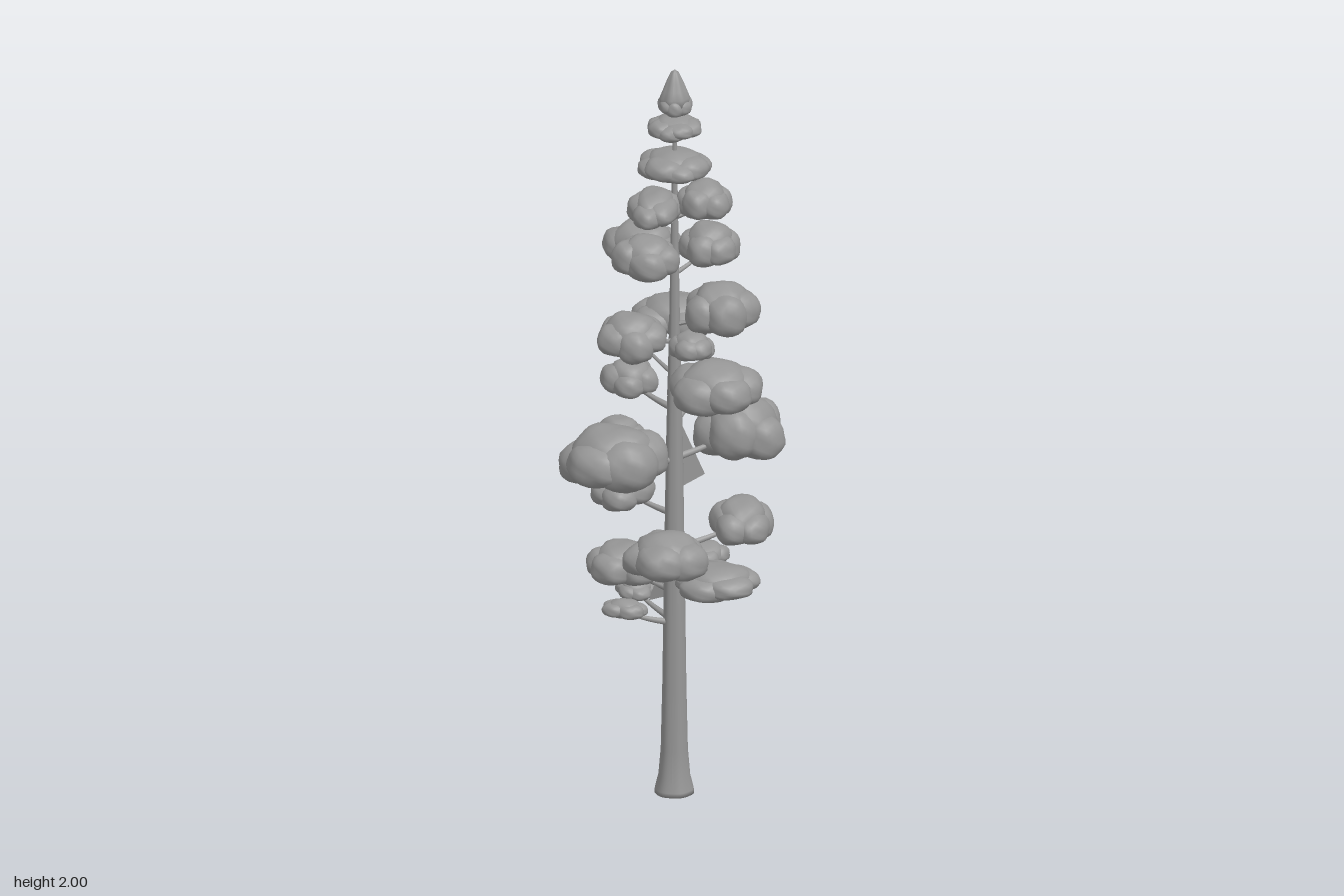
import * as THREE from 'three';
import { mergeGeometries, mergeVertices } from 'three/addons/utils/BufferGeometryUtils.js';

const grey = new THREE.MeshStandardMaterial({ color: 0x969696 });
grey.name = 'grey';
const greyThin = grey.clone();
greyThin.name = 'grey two-sided';
greyThin.side = THREE.DoubleSide;

// Small seeded generator
let seed = 7;
const rand = () => (seed = (seed * 16807) % 2147483647) / 2147483647;

// The trunk leans very slightly backward
const trunkZ = y => -0.03 - 0.004 * y;

// Foliage clusters: centre x, y, z and half sizes x, y, z
const clusters = [
  [-0.05, 1.63, -0.005, 0.07, 0.045, 0.115],
  [0.075, 1.645, -0.045, 0.073, 0.052, 0.08],
  [-0.06, 1.515, 0.055, 0.09, 0.055, 0.085],
  [-0.1, 1.485, -0.115, 0.105, 0.062, 0.11],
  [0.075, 1.49, -0.135, 0.08, 0.055, 0.088],
  [0.125, 1.35, -0.042, 0.1, 0.068, 0.103],
  [-0.09, 1.305, 0.09, 0.09, 0.06, 0.088],
  [-0.015, 1.275, -0.175, 0.12, 0.05, 0.1],
  [0.055, 1.265, 0.035, 0.06, 0.038, 0.065],
  [-0.115, 1.21, -0.165, 0.068, 0.036, 0.073],
  [0.12, 1.165, 0.045, 0.123, 0.066, 0.115],
  [-0.13, 1.115, -0.11, 0.078, 0.048, 0.075],
  [0.04, 1.08, -0.13, 0.075, 0.04, 0.065],
  [-0.14, 0.975, 0.11, 0.142, 0.082, 0.127],
  [0.155, 0.98, -0.155, 0.122, 0.085, 0.113],
  [-0.155, 0.96, -0.1, 0.07, 0.045, 0.07],
  [-0.14, 0.825, -0.075, 0.083, 0.05, 0.107],
  [0.01, 0.73, 0.165, 0.113, 0.06, 0.108],
  [0.16, 0.73, -0.13, 0.085, 0.058, 0.112],
  [0.135, 0.65, 0.12, 0.112, 0.042, 0.098],
  [0.075, 0.645, -0.09, 0.06, 0.032, 0.065],
  [-0.145, 0.612, -0.09, 0.097, 0.052, 0.105],
  [-0.12, 0.525, 0.03, 0.06, 0.026, 0.042],
  [-0.115, 0.53, -0.12, 0.055, 0.026, 0.06],
];

// A lumpy, full-sided puff with a flattened underside
function puff(x, y, z, r, ry) {
  const raw = new THREE.IcosahedronGeometry(1, 4);
  raw.deleteAttribute('uv');
  raw.deleteAttribute('normal');
  const g = mergeVertices(raw, 1e-4);
  const p = g.attributes.position, v = new THREE.Vector3();
  const a = rand() * 6, b = rand() * 6;
  for (let i = 0; i < p.count; i++) {
    v.fromBufferAttribute(p, i);
    const full = Math.pow(Math.pow(Math.hypot(v.x, v.z), 2.5) + Math.pow(Math.abs(v.y), 2.5), -0.4);
    v.multiplyScalar(full * (1 + 0.05 * Math.sin(4 * v.x + a) * Math.cos(5 * v.z + b) + 0.02 * Math.sin(7 * v.y + 6 * v.x + b)));
    p.setXYZ(i, x + v.x * r, y + (v.y < 0 ? 0.75 : 1) * v.y * ry, z + v.z * r);
  }
  g.computeVertexNormals();
  return g;
}

// A cloud of one main puff ringed by smaller ones, fitted to its half sizes
function cluster(x, y, z, rx, ry, rz, ring = 5) {
  const parts = [puff(0, 0, 0, 0.75, 1)];
  const turn = rand() * 6;
  for (let i = 0; i < ring; i++) {
    const t = turn + (i + rand() * 0.3) / ring * Math.PI * 2;
    const s = 0.5 + rand() * 0.1;
    parts.push(puff(Math.cos(t) * (1 - s), -0.25 + rand() * 0.25, Math.sin(t) * (1 - s), s, 0.7 + rand() * 0.15));
  }
  const g = mergeGeometries(parts).center();
  const half = g.boundingBox.getSize(new THREE.Vector3()).multiplyScalar(0.5);
  return g.scale(rx / half.x, ry / half.y, rz / half.z).translate(x, y, z);
}

// A tapered curved branch rising from the trunk to a point
function branch(x, y, z, thick) {
  const y0 = y - 0.045;
  const curve = new THREE.QuadraticBezierCurve3(
    new THREE.Vector3(0, y0, trunkZ(y0)),
    new THREE.Vector3(x * 0.6, y - 0.03, trunkZ(y0) + (z - trunkZ(y0)) * 0.6),
    new THREE.Vector3(x, y, z));
  const rings = 8, sides = 7;
  const g = new THREE.TubeGeometry(curve, rings, thick, sides);
  const p = g.attributes.position, v = new THREE.Vector3();
  for (let i = 0; i < p.count; i++) {
    const t = Math.floor(i / (sides + 1)) / rings;
    v.fromBufferAttribute(p, i).lerp(curve.getPointAt(t), 0.6 * t);
    p.setXYZ(i, v.x, v.y, v.z);
  }
  g.computeVertexNormals();
  return g;
}

// A slightly fluted turned form that follows the lean of the trunk
function turned(profile, flutes, depth) {
  const g = new THREE.LatheGeometry(profile.map(([r, y]) => new THREE.Vector2(r, y)), 40);
  const p = g.attributes.position;
  for (let i = 0; i < p.count; i++) {
    const k = 1 + depth * Math.cos(flutes * Math.atan2(p.getZ(i), p.getX(i)));
    p.setXYZ(i, p.getX(i) * k, p.getY(i), p.getZ(i) * k + trunkZ(p.getY(i)));
  }
  g.computeVertexNormals();
  return g;
}

export function createModel() {
  seed = 7;
  const tree = new THREE.Group();
  tree.name = 'tree';
  const add = (name, geometry, material = grey) => {
    const m = new THREE.Mesh(geometry, material);
    m.name = name;
    tree.add(m);
  };

  // Trunk with a flared foot
  add('trunk', turned([[0, 0], [0.051, 0], [0.05, 0.012], [0.041, 0.05], [0.035, 0.12], [0.031, 0.3],
    [0.027, 0.6], [0.022, 0.95], [0.014, 1.3], [0.009, 1.6], [0.004, 1.92]], 6, 0.02));

  // Foliage clusters and the branches that carry them
  for (const c of clusters) {
    const [x, y, z] = c;
    add('foliageCluster', cluster(...c));
    add('branch', branch(x, y - 0.01, z, y < 1.2 ? 0.01 : 0.007));
  }

  // Whorls round the upper stem
  for (const [y, r, h] of [[1.742, 0.095, 0.037], [1.845, 0.073, 0.029]]) {
    add('upperWhorl', cluster(0, y, trunkZ(y), r, h, r, 8));
  }

  // Pointed crown: a rounded collar of foliage under a narrow tip
  add('crownCollar', cluster(0, 1.907, trunkZ(1.907), 0.046, 0.029, 0.046, 7));
  add('crownTip', turned([[0, 1.9], [0.04, 1.9], [0.039, 1.925], [0.031, 1.945], [0.022, 1.968],
    [0.011, 1.992], [0, 2]], 7, 0.04));

  // Webs where two heavy branches leave the trunk
  const webs = [
    [0.012, 1.03, -0.04, 0.07, 0.86, -0.1, 0.012, 0.84, -0.04],
    [-0.015, 0.69, -0.04, -0.07, 0.52, -0.05, -0.015, 0.54, -0.04],
  ];
  for (const w of webs) {
    const g = new THREE.BufferGeometry();
    g.setAttribute('position', new THREE.Float32BufferAttribute(w, 3));
    g.computeVertexNormals();
    add('branchWeb', g, greyThin);
  }
  return tree;
}
